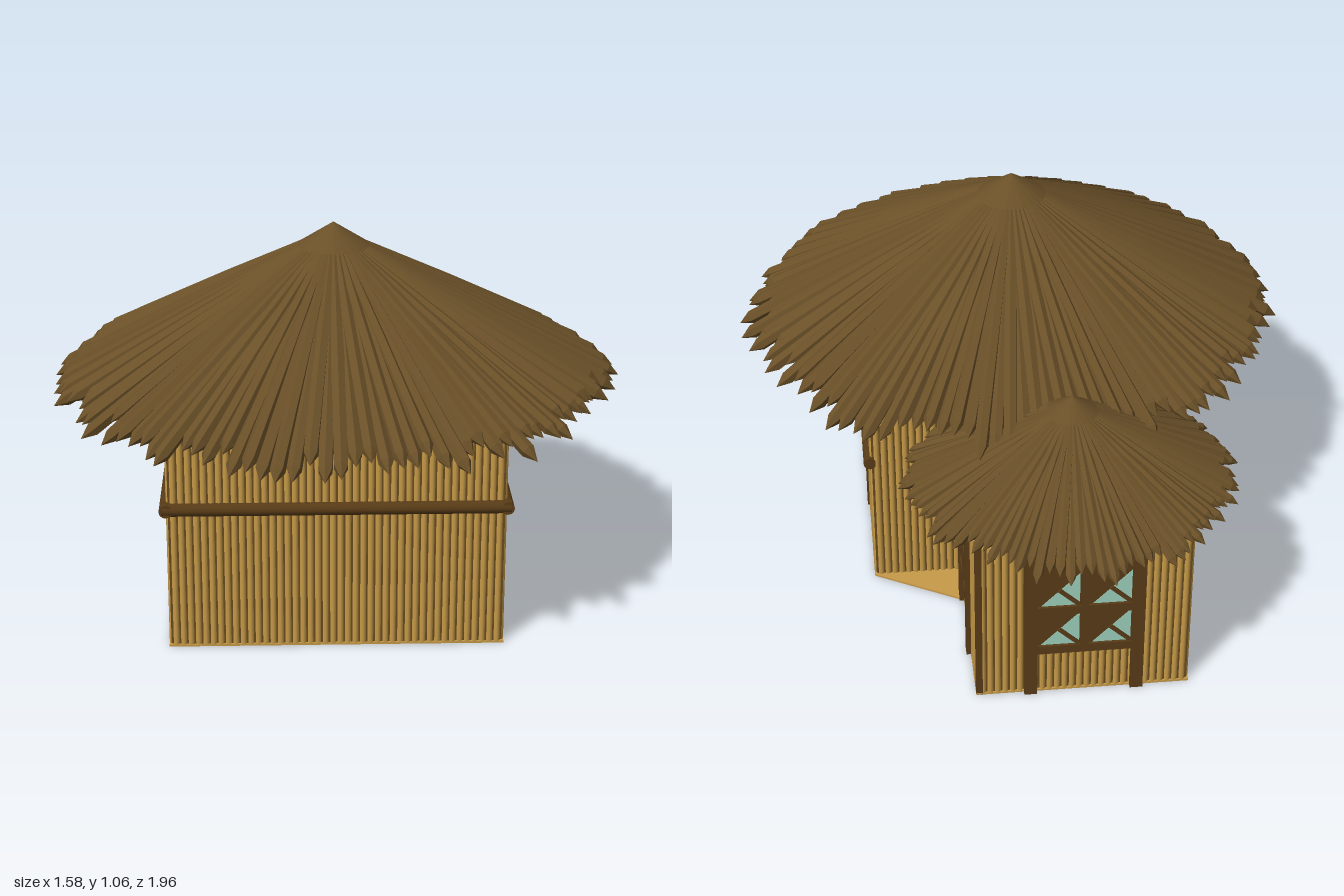
import * as THREE from 'three';
import { mergeGeometries } from 'three/addons/utils/BufferGeometryUtils.js';

const mat = (color, extra = {}) => new THREE.MeshStandardMaterial({ color, ...extra });
const BAMBOO = mat(0xc89b48);
const WOOD = mat(0x593c17);
const GAP = mat(0x6b4d20);
const THATCH = mat(0x6a5028, { flatShading: true });
const GLASS = mat(0x9fd3be, { side: THREE.DoubleSide });
const FLOOR = mat(0xc89b48);
const UP = new THREE.Vector3(0, 1, 0);

function add(parent, name, geometry, material, x = 0, y = 0, z = 0) {
  const mesh = new THREE.Mesh(geometry, material);
  mesh.name = name;
  mesh.position.set(x, y, z);
  parent.add(mesh);
  return mesh;
}

function seeded(seed) {
  return () => (seed = (seed * 16807) % 2147483647) / 2147483647;
}

// Straight wall of upright canes between two plan points, on a dark backing
function wall(parent, name, [x0, z0], [x1, z1], height) {
  const group = new THREE.Group();
  group.name = name;
  const length = Math.hypot(x1 - x0, z1 - z0);
  const count = Math.round(length / 0.02);
  const canes = [];
  for (let i = 0; i < count; i++) {
    const t = (i + 0.5) / count;
    canes.push(new THREE.CylinderGeometry(0.0095, 0.0095, height, 8)
      .translate(x0 + (x1 - x0) * t, height / 2, z0 + (z1 - z0) * t));
  }
  add(group, 'canes', mergeGeometries(canes), BAMBOO);
  const back = add(group, 'wallBacking', new THREE.BoxGeometry(length, height, 0.008), GAP,
    (x0 + x1) / 2, height / 2, (z0 + z1) / 2);
  back.rotation.y = -Math.atan2(z1 - z0, x1 - x0);
  parent.add(group);
}

// Round thatched roof: radial pointed sticks of uneven length and a small cone on top
function roof(parent, name, { x, z, top, eave, radius, short, count, thick, cap, seed }) {
  const rand = seeded(seed);
  const sticks = [];
  const drop = top - 0.03 - eave;
  const slope = drop / radius;
  for (let i = 0; i < count; i++) {
    const a = (i / count) * Math.PI * 2;
    const reach = radius - rand() * short;
    const length = reach * Math.hypot(1, slope);
    const dir = new THREE.Vector3(Math.cos(a), -slope, Math.sin(a)).normalize();
    const profile = [[0, 0], [thick * 0.7, 0], [thick, length * 0.5], [thick, length - thick * 2], [0, length]]
      .map(([r, y]) => new THREE.Vector2(r, y));
    const lift = (i % 2) * thick * 0.4;
    sticks.push(new THREE.LatheGeometry(profile, 6)
      .applyQuaternion(new THREE.Quaternion().setFromUnitVectors(UP, dir))
      .translate(0, top - 0.03 - lift, 0));
  }
  const group = new THREE.Group();
  group.name = name;
  group.position.set(x, 0, z);
  add(group, 'thatchSticks', mergeGeometries(sticks), THATCH);
  const capHeight = cap * slope + 0.012;
  add(group, 'roofCap', new THREE.ConeGeometry(cap, capHeight, 24), THATCH, 0, top - capHeight / 2, 0);
  parent.add(group);
}

// Round beam between two points
function beam(parent, name, from, to, r) {
  const a = new THREE.Vector3(...from), b = new THREE.Vector3(...to);
  const mesh = add(parent, name, new THREE.CylinderGeometry(r, r, a.distanceTo(b), 12), WOOD);
  mesh.position.copy(a).lerp(b, 0.5);
  mesh.quaternion.setFromUnitVectors(UP, b.clone().sub(a).normalize());
}

function panel(points, depth) {
  const shape = new THREE.Shape(points.map(([x, y]) => new THREE.Vector2(x, y)));
  return new THREE.ExtrudeGeometry(shape, { depth, bevelEnabled: false });
}

// Window facing local +z, with two full-height posts and four panes
function makeWindow(name, half, crossed) {
  const group = new THREE.Group();
  group.name = name;
  for (const s of [-1, 1]) {
    add(group, 'windowPost', new THREE.BoxGeometry(0.035, 0.5, 0.035), WOOD, s * half, 0.25, 0.004);
  }
  add(group, 'windowBoard', new THREE.BoxGeometry(half * 2, 0.3, 0.026), WOOD, 0, 0.29, 0);
  for (const y of [0.152, 0.285, 0.425]) {
    add(group, 'windowBar', new THREE.BoxGeometry(half * 2, 0.026, 0.034), WOOD, 0, y, 0.003);
  }
  add(group, 'windowMullion', new THREE.BoxGeometry(0.022, 0.28, 0.034), WOOD, 0, 0.29, 0.003);
  const w = half - 0.034, h = 0.105;
  for (const x of [-half + 0.02, 0.014]) {
    for (const y of [0.167, 0.3]) {
      const full = crossed && x > 0 && y > 0.2;
      const corners = full ? [[0, 0], [w, 0], [w, h], [0, h]] : [[0.008, 0], [w, 0], [w, h]];
      add(group, 'glassPane', panel(corners, 0.002), GLASS, x, y, 0.0125);
      // thin diagonal glazing bars
      for (const s of full ? [1, -1] : [-1]) {
        const bar = add(group, 'glazingBar', new THREE.BoxGeometry(Math.hypot(w, h) * (full ? 1 : 0.5), 0.012, 0.006), WOOD,
          x + w * (full ? 0.5 : 0.75), y + h * (full ? 0.5 : 0.25), 0.015);
        bar.rotation.z = s * Math.atan2(h, w);
      }
    }
  }
  return group;
}

export function createModel() {
  const hut = new THREE.Group();
  hut.name = 'thatchedHut';

  // Floor slab under both rooms
  const plan = [[-0.455, 0.645], [0.45, 0.645], [0.45, -0.28], [0.2, -0.42],
    [0.2, -0.825], [-0.385, -0.825], [-0.385, -0.42], [-0.455, -0.28]];
  const floor = panel(plan.map(([x, z]) => [x, -z]), 0.006).rotateX(-Math.PI / 2);
  add(hut, 'floor', floor, FLOOR);

  // Main room and back room
  const L = -0.446, R = 0.441, F = 0.636, B = -0.272;
  wall(hut, 'frontWall', [L, F], [R, F], 0.64);
  wall(hut, 'doorWall', [R, F], [R, B], 0.64);
  wall(hut, 'plainWall', [L, F], [L, B], 0.64);
  wall(hut, 'mainBackWall', [L, B], [R, B], 0.64);
  const l = -0.376, r = 0.191, b = -0.816;
  wall(hut, 'annexWindowWall', [r, B], [r, b], 0.5);
  wall(hut, 'annexPlainWall', [l, B], [l, b], 0.5);
  wall(hut, 'annexBackWall', [l, b], [r, b], 0.5);
  add(hut, 'cornerPost', new THREE.BoxGeometry(0.018, 0.5, 0.018), WOOD, r, 0.25, b);

  // Rails around the main room
  beam(hut, 'frontRail', [-0.465, 0.403, 0.645], [0.46, 0.403, 0.645], 0.018);
  beam(hut, 'doorSideRail', [0.45, 0.403, 0.66], [0.45, 0.403, -0.28], 0.018);
  beam(hut, 'plainSideRail', [-0.455, 0.403, 0.66], [-0.455, 0.403, -0.28], 0.018);

  // Door, local x runs towards -z
  const door = new THREE.Group();
  door.name = 'door';
  door.position.set(0.441, 0, 0.19);
  door.rotation.y = Math.PI / 2;
  for (const x of [-0.105, 0.105]) {
    add(door, 'doorPost', new THREE.BoxGeometry(0.028, 0.64, 0.03), WOOD, x, 0.32, 0);
  }
  add(door, 'doorLeaf', panel([[-0.115, 0], [-0.085, 0], [0.1, 0.39], [-0.115, 0.39]], 0.012), WOOD);
  const brace = add(door, 'doorBrace', new THREE.BoxGeometry(0.018, 0.19, 0.012), WOOD, 0.048, 0.09, 0.006);
  brace.rotation.z = 0.46;
  add(door, 'doorKnob', new THREE.SphereGeometry(0.006, 10, 8), WOOD, -0.07, 0.19, 0.014);
  hut.add(door);

  // Windows of the back room
  const side = makeWindow('sideWindow', 0.118, true);
  side.position.set(r, 0, -0.52);
  side.rotation.y = Math.PI / 2;
  const back = makeWindow('backWindow', 0.145, false);
  back.position.set(-0.093, 0, b);
  back.rotation.y = Math.PI;
  hut.add(side, back);

  // Roofs
  roof(hut, 'mainRoof', { x: 0, z: 0.19, top: 1.06, eave: 0.605, radius: 0.805, short: 0.08,
    count: 120, thick: 0.02, cap: 0.1, seed: 7 });
  roof(hut, 'annexRoof', { x: -0.09, z: -0.53, top: 0.765, eave: 0.495, radius: 0.472, short: 0.05,
    count: 100, thick: 0.014, cap: 0.07, seed: 23 });
  return hut;
}
